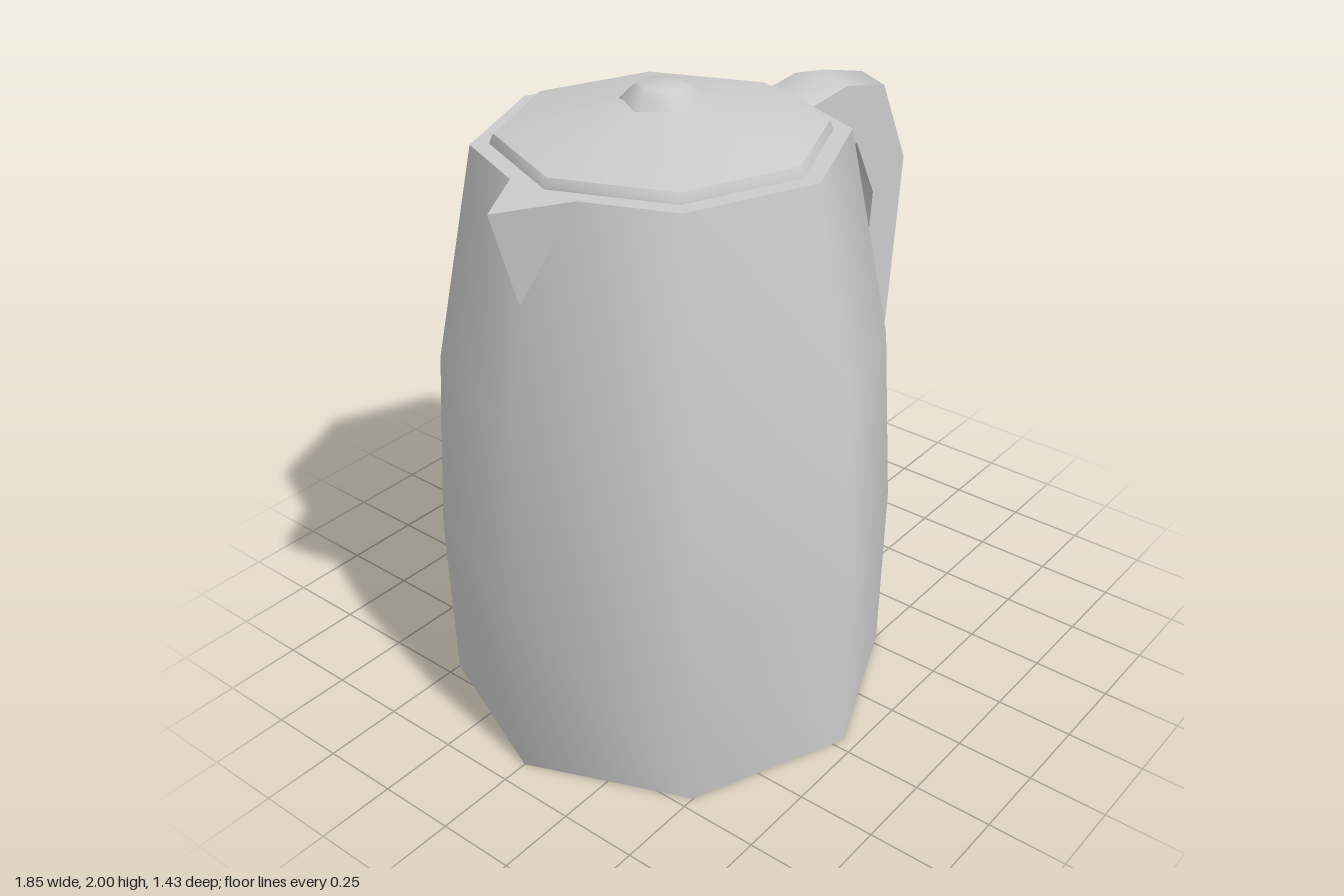
import * as THREE from 'three';
import { toCreasedNormals } from 'three/addons/utils/BufferGeometryUtils.js';

const CX = -0.21; // axis of the jug
const MID = 0.02, HALF = 0.1; // handle and switch centre and half width in z

function add(group, name, geometry, crease = 1) {
  const material = new THREE.MeshStandardMaterial({ color: 0xcccccc });
  const mesh = new THREE.Mesh(toCreasedNormals(geometry, crease), material);
  mesh.name = name;
  group.add(mesh);
  return mesh;
}

// Faceted turned part around the jug axis
function turned(profile, sides, start = 0) {
  const points = profile.map(([r, y]) => new THREE.Vector2(r, y));
  return new THREE.LatheGeometry(points, sides, start).translate(CX, 0, 0);
}

// Geometry from polygons (corner lists), counter-clockwise seen from outside
function polygons(faces) {
  const pos = [];
  for (const f of faces) {
    for (let i = 1; i < f.length - 1; i++) pos.push(...f[0], ...f[i], ...f[i + 1]);
  }
  const g = new THREE.BufferGeometry();
  g.setAttribute('position', new THREE.Float32BufferAttribute(pos, 3));
  return g;
}

// Handle: five-sided cross-sections with a ridge along the outer face
function handleGeometry() {
  // edge x, y | ridge x, y | inner x, y
  const stations = [
    [0.30, 1.79, 0.305, 1.815, 0.33, 1.63],
    [0.54, 1.81, 0.55, 1.84, 0.47, 1.615],
    [0.755, 1.755, 0.775, 1.775, 0.61, 1.60],
    [0.90, 1.465, 0.92, 1.475, 0.72, 1.395],
    [0.84, 0.84, 0.86, 0.84, 0.67, 0.90],
    [0.67, 0.575, 0.69, 0.555, 0.535, 0.705],
    [0.45, 0.435, 0.455, 0.43, 0.45, 0.66],
  ];
  const rings = stations.map(([ex, ey, rx, ry, ix, iy]) => [
    [ex, ey, MID + HALF], [rx, ry, MID], [ex, ey, MID - HALF],
    [ix, iy, MID - HALF], [ix, iy, MID + HALF],
  ]);
  const faces = [];
  for (let s = 0; s < rings.length - 1; s++) {
    for (let k = 0; k < 5; k++) {
      const n = (k + 1) % 5;
      faces.push([rings[s][k], rings[s + 1][k], rings[s + 1][n], rings[s][n]]);
    }
  }
  faces.push(rings[0], [...rings[rings.length - 1]].reverse());
  return polygons(faces);
}

export function createModel() {
  const kettle = new THREE.Group();
  kettle.name = 'kettle';

  // Eight-sided body with closed base and flat rim
  add(kettle, 'body', turned([
    [0, 0], [0.705, 0], [0.715, 0.58], [0.678, 1.17], [0.545, 1.84], [0, 1.84],
  ], 8));

  // Lid with a short upright edge
  add(kettle, 'lid', turned([
    [0.49, 1.838], [0.488, 1.848], [0.478, 1.87], [0.11, 1.953], [0, 1.953],
  ], 8), 0.85);

  // Six-sided knob
  add(kettle, 'lidKnob', turned([
    [0.13, 1.94], [0.122, 1.953], [0.085, 1.99], [0.07, 2], [0, 2],
  ], 6, Math.PI / 2), 1.1);

  // Pointed spout rising from the front corner of the body
  const tip = [-0.91, 1.84, 0], low = [-0.815, 1.54, 0];
  const near = [-0.705, 1.84, 0.12], far = [-0.705, 1.84, -0.12];
  add(kettle, 'spout', polygons([
    [tip, near, far], [tip, low, near], [tip, far, low], [low, far, near],
  ]), 0.5);

  add(kettle, 'handle', handleGeometry());

  // Slanted switch lever under the handle
  const lever = new THREE.Shape([[0.45, 0.25], [0.665, 0.308], [0.67, 0.345], [0.45, 0.287]]
    .map(([x, y]) => new THREE.Vector2(x, y)));
  const leverGeometry = new THREE.ExtrudeGeometry(lever, { depth: 2 * HALF, bevelEnabled: false });
  add(kettle, 'switchLever', leverGeometry.translate(0, 0, MID - HALF), 0.5);

  return kettle;
}
